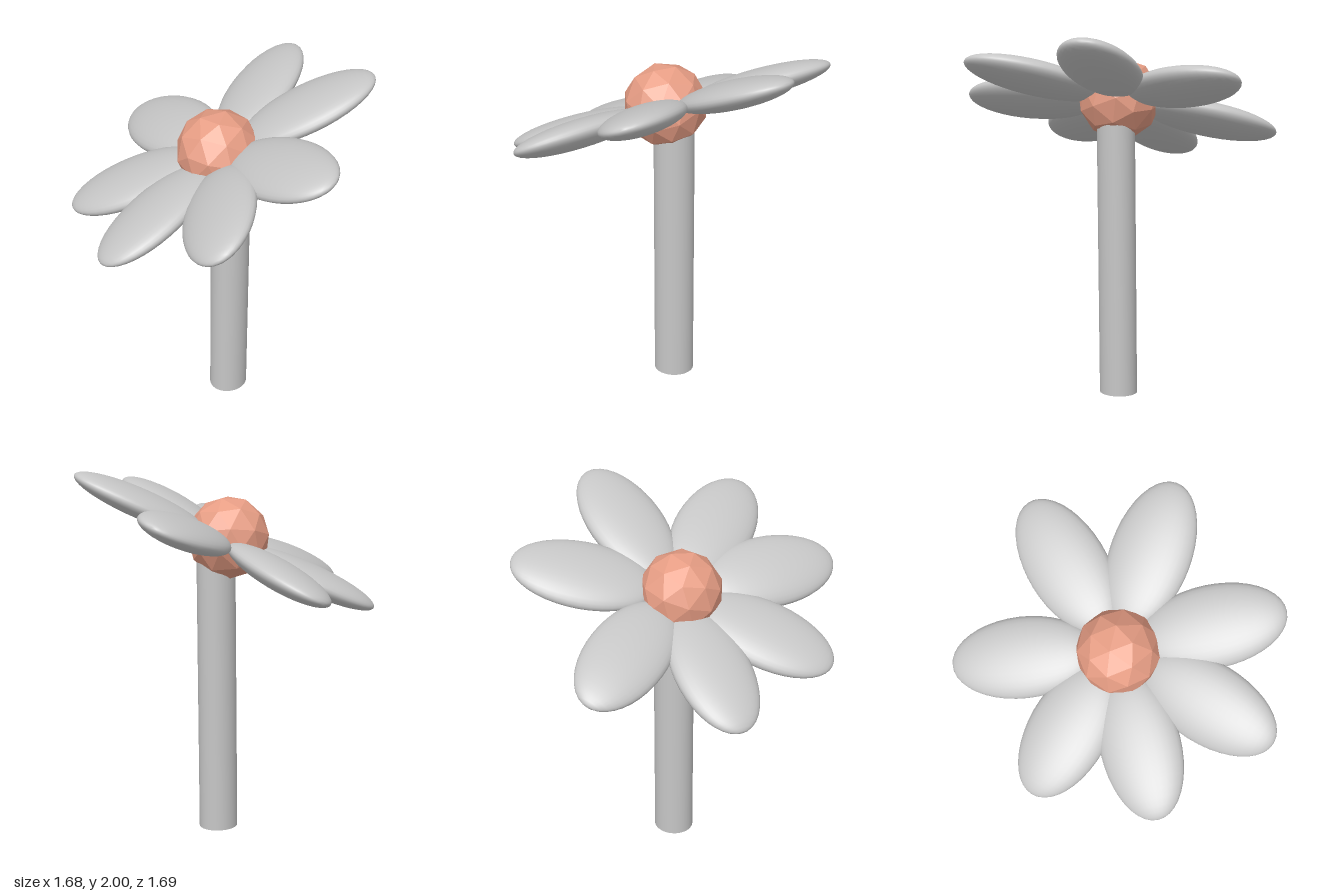
import * as THREE from 'three';

export function createModel() {
  const model = new THREE.Group();
  model.name = 'flower';

  const grey = new THREE.MeshStandardMaterial({ color: 0xc6c6c6 });
  grey.name = 'grey';
  const coral = new THREE.MeshStandardMaterial({ color: 0xe89e85, flatShading: true });
  coral.name = 'coral';

  // Stem: slightly oval cylinder with a faint lean, foot cut level with the ground
  const height = 1.55, lean = 0.016;
  const stemGeo = new THREE.CylinderGeometry(1, 1, height, 32);
  stemGeo.scale(0.102, 1, 0.11);
  stemGeo.translate(0, height / 2, 0);
  const pos = stemGeo.attributes.position;
  for (let i = 0; i < pos.count; i++) pos.setX(i, pos.getX(i) + lean * (pos.getY(i) / height));
  const stem = new THREE.Mesh(stemGeo, grey);
  stem.name = 'stem';
  stem.position.set(0.022, 0, -0.042);
  model.add(stem);

  // Tilted head: x and z span the petal plane, y is its normal
  const u = new THREE.Vector3(1, 0.33, 0).normalize();
  const n = new THREE.Vector3(-0.33, 1, 0.32).normalize();
  const v = new THREE.Vector3().crossVectors(u, n);
  const petals = new THREE.Group();
  petals.name = 'petals';
  petals.quaternion.setFromRotationMatrix(new THREE.Matrix4().makeBasis(u, n, v));
  petals.position.set(-0.01, 1.62, -0.02);
  model.add(petals);

  // Petals: flattened ellipsoids, unevenly spaced [degrees, distance, twist in degrees]
  const petalGeo = new THREE.SphereGeometry(1, 32, 20);
  petalGeo.rotateZ(Math.PI / 2);
  const layout = [
    [9.8, 0.503, 0], [52.5, 0.555, 6], [97.7, 0.525, 0], [142, 0.503, 0],
    [195, 0.497, 0], [259.3, 0.492, 0], [312, 0.5, 0],
  ];
  layout.forEach(([deg, r, twist], i) => {
    const a = THREE.MathUtils.degToRad(deg);
    const petal = new THREE.Mesh(petalGeo, grey);
    petal.name = `petal${i + 1}`;
    petal.position.set(r * Math.cos(a), 0, r * Math.sin(a));
    petal.rotation.set(THREE.MathUtils.degToRad(twist), -a, 0, 'YXZ');
    petal.scale.set(0.385, 0.076, 0.212);
    petals.add(petal);
  });

  // Faceted flower centre
  const centre = new THREE.Mesh(new THREE.IcosahedronGeometry(0.225, 1), coral);
  centre.name = 'flowerCentre';
  centre.position.set(-0.007, 1.628, 0.01);
  centre.quaternion.copy(petals.quaternion);
  model.add(centre);

  return model;
}
